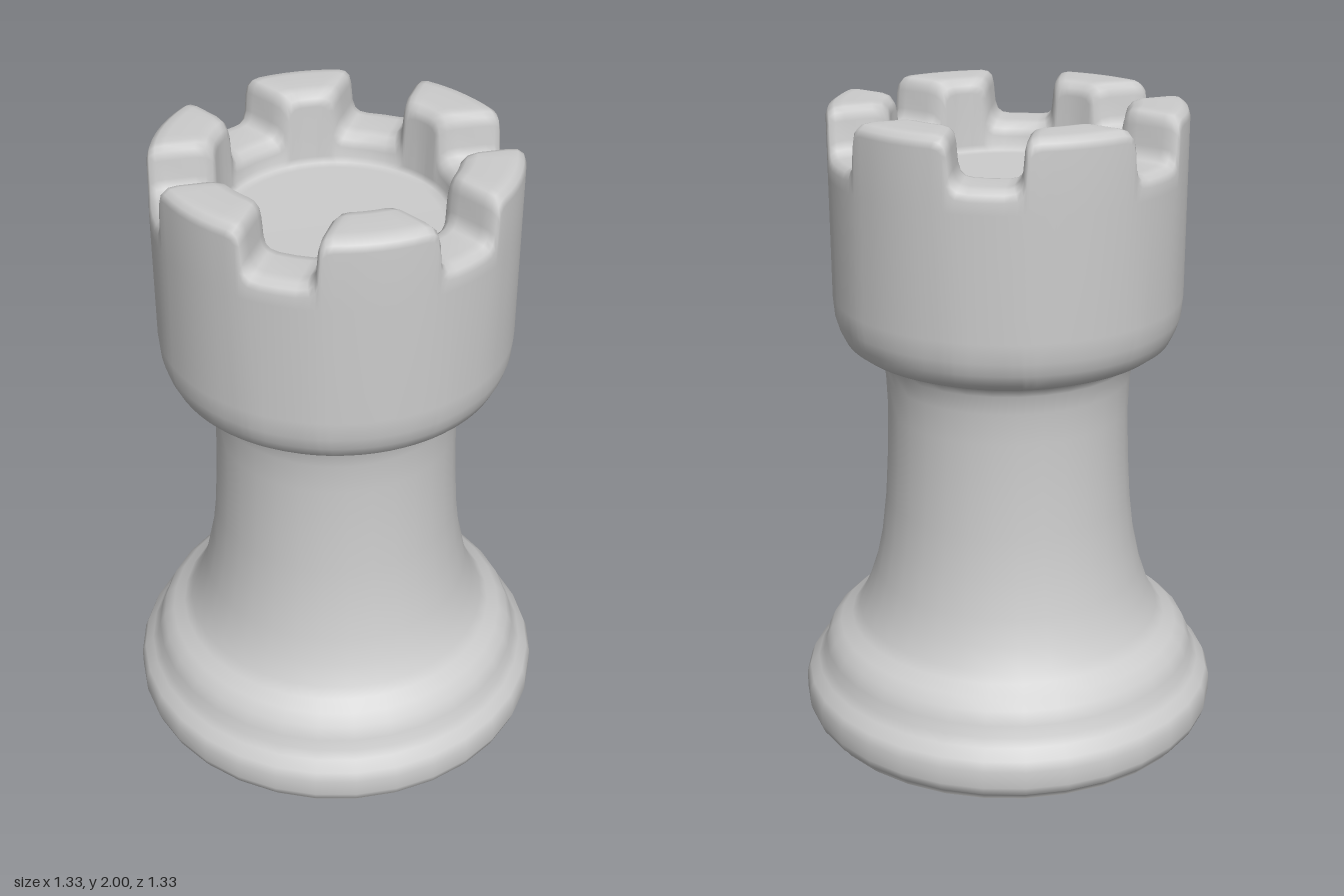
import * as THREE from 'three';

const stone = new THREE.MeshStandardMaterial({ color: 0xcccccc, side: THREE.DoubleSide });
stone.name = 'light grey';

// Turned foot and waisted shaft, open underneath: [radius, y]
const bodyProfile = [
  [0.635, 0], [0.641, 0.015], [0.658, 0.028], [0.667, 0.055], [0.667, 0.11], [0.655, 0.14],
  [0.627, 0.17], [0.609, 0.195], [0.6, 0.23], [0.582, 0.27], [0.55, 0.3], [0.512, 0.325],
  [0.487, 0.355], [0.456, 0.42], [0.43, 0.5], [0.405, 0.62], [0.39, 0.75], [0.381, 0.9],
  [0.377, 1.05], [0.381, 1.15], [0.392, 1.21], [0.407, 1.236], [0.43, 1.25],
];

// Crown from its underside, over the rim, to the sunken floor:
// [radius, y, rises with the battlements, rounding of the battlement corners]
const crownProfile = [
  [0.407, 1.236, 0, 0], [0.43, 1.25, 0, 0], [0.475, 1.264, 0, 0], [0.503, 1.285, 0, 0],
  [0.52, 1.32, 0, 0], [0.532, 1.36, 0, 0], [0.537, 1.42, 0, 0], [0.537, 1.79, 0, 0.014],
  [0.537, 1.825, 1, 0.014], [0.53, 1.845, 1, 0.008], [0.512, 1.857, 1, 0.002],
  [0.485, 1.86, 1, 0], [0.4, 1.86, 1, 0], [0.372, 1.855, 1, 0.003],
  [0.354, 1.838, 1, 0.008], [0.347, 1.815, 1, 0.014], [0.345, 1.79, 0, 0.014],
  [0.334, 1.774, 0, 0], [0.31, 1.77, 0, 0], [0, 1.77, 0, 0],
];

// Half a gap seen from its middle: [sideways distance, share of battlement height]
const gapSide = [
  [0, 0], [0.05, 0], [0.073, 0.03], [0.088, 0.12], [0.096, 0.3],
  [0.101, 0.7], [0.107, 0.88], [0.12, 0.97], [0.138, 1],
];
const RISE = 0.14;
const GAPS = 6;
const HALF = Math.PI / GAPS;

// One column per step around the crown; the gap sides stay parallel
function crownColumns() {
  const half = gapSide.map(([d, h]) => ({ d, h, f: 0 }));
  for (const f of [1 / 3, 2 / 3, 1]) half.push({ d: 0.138, h: 1, f });
  const columns = [];
  for (let k = 0; k < GAPS; k++) {
    const mid = 2 * HALF * k;
    for (let i = half.length - 2; i > 0; i--) columns.push({ ...half[i], mid, sign: -1 });
    for (const c of half) columns.push({ ...c, mid, sign: 1 });
  }
  return columns;
}

function crownGeometry() {
  const columns = crownColumns();
  const n = columns.length;
  const positions = [];
  const index = [];
  crownProfile.forEach(([r, y, lift, flare], i) => {
    columns.forEach(({ d, h, f, mid, sign }, j) => {
      const side = d > 0.05 ? d + flare : d;
      const edge = Math.asin(side / Math.max(r, 0.345));
      const angle = mid + sign * (edge + (HALF - edge) * f);
      positions.push(r * Math.sin(angle), y + RISE * h * lift, r * Math.cos(angle));
      if (i === crownProfile.length - 1) return;
      const a = i * n + j;
      const b = i * n + (j + 1) % n;
      index.push(a, b, b + n, a, b + n, a + n);
    });
  });
  const geometry = new THREE.BufferGeometry();
  geometry.setAttribute('position', new THREE.Float32BufferAttribute(positions, 3));
  geometry.setIndex(index);
  geometry.computeVertexNormals();
  return geometry;
}

export function createModel() {
  const group = new THREE.Group();
  group.name = 'castlePiece';

  // Foot and shaft
  const points = bodyProfile.map(([r, y]) => new THREE.Vector2(r, y));
  const body = new THREE.Mesh(new THREE.LatheGeometry(points, 32), stone);
  body.name = 'footAndShaft';
  group.add(body);

  // Crown with battlements and sunken floor
  const crown = new THREE.Mesh(crownGeometry(), stone);
  crown.name = 'battlementCrown';
  group.add(crown);

  return group;
}
